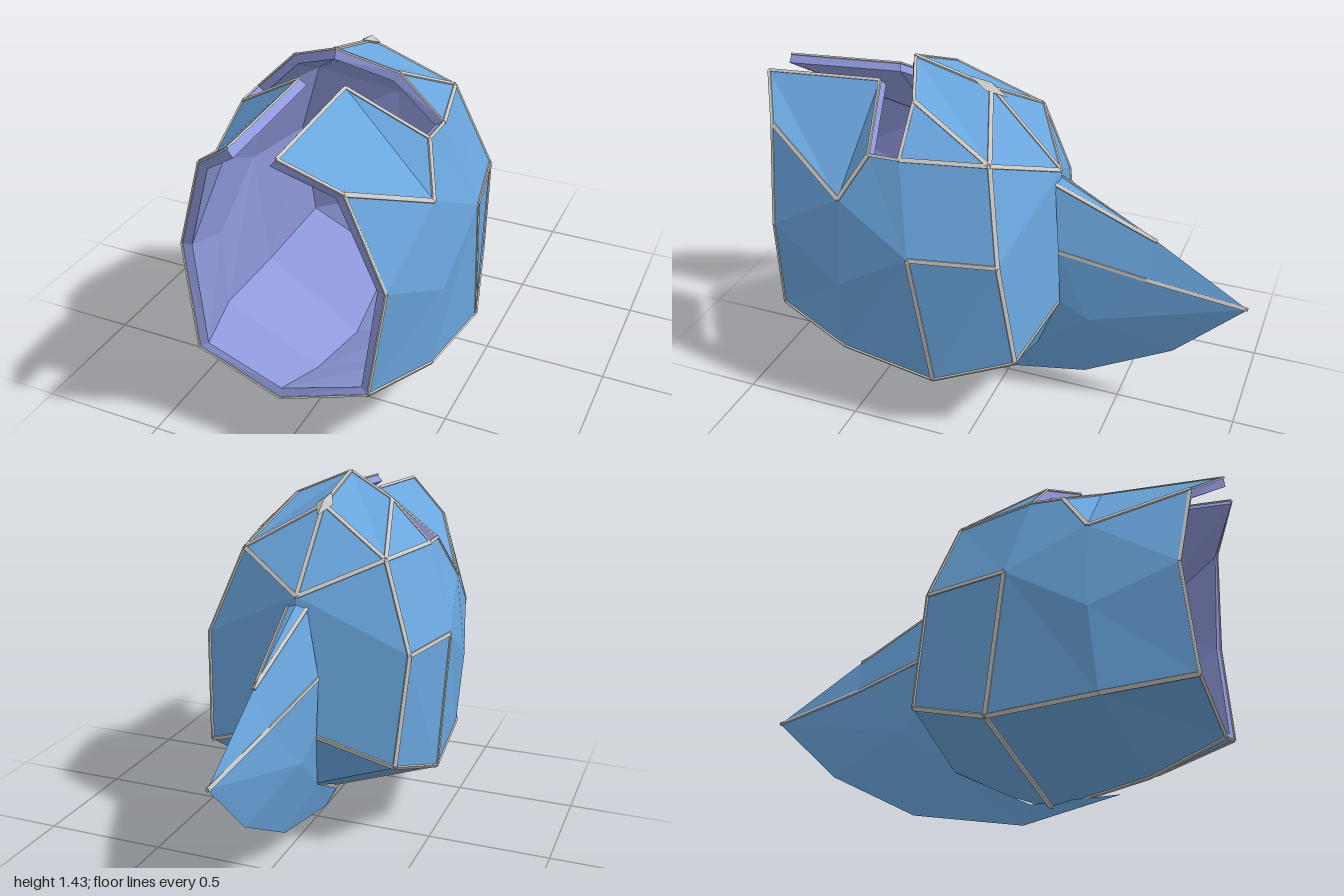
import * as THREE from 'three';

const material = (name, color) => {
  const m = new THREE.MeshStandardMaterial({ color });
  m.name = name;
  return m;
};

// Corner points of the left half; points on x = 0 are shared by both halves.
// Rows a..f run from the neck opening to the back of the skull.
const SHELL = {
  a0: [0, .25, .905], a1: [.345, .365, .885], a2: [.40, .79, .855], a3: [.27, 1.17, .895], a4: [.09, 1.31, 1],
  b0: [0, .13, .61], b1: [.455, .30, .55], b2: [.485, .63, .53], b3: [.44, .99, .53], b4: [.09, 1.345, .50],
  c: [.375, 1.17, .42],
  d0: [0, .05, .23], d1: [.485, .26, .14], d2: [.5, .82, .22], d3: [.38, 1.175, .29], d4: [.21, 1.34, .30], d5: [0, 1.43, .385],
  e0: [0, .21, -.15], e1: [.40, .37, -.18], e2: [.43, .82, -.12], e3: [.30, 1.17, -.04],
  f0: [0, .52, -.28], f1: [0, 1.04, -.22], t: [0, 1.345, .07],
};
const SHELL_FACES = `a0 b0 b1 a1,a1 b1 b2 a2,a2 b2 b3 a3,a4 a3 b3,b4 a4 b3,c b4 b3,
b0 d0 d1 b1,b1 d1 d2 b2,b3 b2 d2,c b3 d2,d3 c d2,
d0 e0 e1 d1,d1 e1 e2 d2,d2 e2 e3 d3,e3 d4 d3,e3 t d5 d4,
f0 e1 e0,f0 e2 e1,f1 e3 e2,f0 f1 e2,f1 t e3`;
const RIM_SEAMS = ['a0 a1 a2 a3 a4 b4 c d3 d4 d5'];
const SHELL_SEAMS = ['d5 t e3 e2 e1 f0', 'a3 b3 c', 'a1 b1 d1 e1',
  'd3 e3 d4', 'e3 f1 t', 'e2 d2 d1 d0', 'a0 b0 d0'];

const CREST = {
  TC: [0, 1.02, -.2], TS: [.04, .995, -.21], T1: [0, .8, -.62], P: [0, .57, -1],
  L1: [0, .295, -.72], L2: [0, .09, -.35], L3: [0, 0, .11], L4: [0, .08, .5],
  M0: [.105, .73, -.25], M1: [.05, .645, -.6], N: [.085, .42, -.38],
  B1: [.1, .5, -.26], B2: [.06, .23, -.155], B3: [.03, .07, .15], C: [0, .62, -.265],
};
const CREST_FACES = `M0 M1 T1 TS,TS T1 TC,M1 P T1,M0 N M1,N P M1,N L1 P,N L2 L1,B1 N M0,B1 B2 N,
B2 L2 N,B2 B3 L3 L2,B3 L4 L3,M0 TS C,TS TC C,B1 M0 C`;
const CREST_SEAMS = ['TS T1', 'M0 M1 P'];

// Mirrors the half into indexed points, outward triangles and averaged normals
function mirrored(table, faceText) {
  const points = [], ids = {};
  for (const [name, [x, y, z]] of Object.entries(table)) {
    ids[name] = [points.length, points.length];
    points.push(new THREE.Vector3(x, y, z));
    if (x > 0) {
      ids[name][1] = points.length;
      points.push(new THREE.Vector3(-x, y, z));
    }
  }
  const tris = [];
  for (const face of faceText.split(',')) {
    const corners = face.trim().split(' ').map(n => ids[n]);
    for (let i = 1; i < corners.length - 1; i++) {
      const [p, q, r] = [corners[0], corners[i], corners[i + 1]];
      tris.push([p[0], q[0], r[0]], [p[1], r[1], q[1]]);
    }
  }
  const normals = points.map(() => new THREE.Vector3());
  for (const [i, j, k] of tris) {
    const n = points[j].clone().sub(points[i]).cross(points[k].clone().sub(points[i])).normalize();
    for (const v of [i, j, k]) normals[v].add(n);
  }
  normals.forEach(n => n.normalize());
  return { points, ids, tris, normals };
}

// Faceted mesh from points and triangles
function facetMesh(name, points, tris, mat) {
  const geo = new THREE.BufferGeometry().setFromPoints(tris.flat().map(i => points[i]));
  geo.computeVertexNormals();
  const mesh = new THREE.Mesh(geo, mat);
  mesh.name = name;
  return mesh;
}

// Thin flat strips laid along chains of edges, on both halves
function seamStrips(name, part, chains, width, mat) {
  const group = new THREE.Group();
  group.name = name;
  for (const chain of chains) {
    const ends = chain.split(' ').map(n => part.ids[n]);
    for (let i = 0; i < ends.length - 1; i++) {
      for (const side of [0, 1]) {
        const u = ends[i], v = ends[i + 1];
        if (side && u[0] === u[1] && v[0] === v[1]) continue;
        const p = part.points[u[side]], q = part.points[v[side]];
        const dir = q.clone().sub(p).normalize();
        const normal = part.normals[u[side]].clone().add(part.normals[v[side]]);
        const across = dir.clone().cross(normal).normalize();
        const up = across.clone().cross(dir);
        const strip = new THREE.Mesh(new THREE.BoxGeometry(p.distanceTo(q), .007, width), mat);
        strip.name = 'seam';
        strip.quaternion.setFromRotationMatrix(new THREE.Matrix4().makeBasis(dir, up, across));
        strip.position.copy(p).lerp(q, .5);
        group.add(strip);
      }
    }
  }
  return group;
}

export function createModel() {
  const blue = material('steel blue', 0x6aa6de);
  const violet = material('lining violet', 0x9099dc);
  const grey = material('seam grey', 0xc9c7c3);
  const model = new THREE.Group();
  model.name = 'helmet';

  // Outer shell
  const shell = mirrored(SHELL, SHELL_FACES);
  model.add(facetMesh('shell', shell.points, shell.tris, blue));

  // Inner lining, offset inward, with walls closing every open edge
  const count = shell.points.length;
  const inner = shell.points.map((p, i) => p.clone().addScaledVector(shell.normals[i], -.038));
  const lining = shell.tris.map(([i, j, k]) => [i + count, k + count, j + count]);
  const edges = shell.tris.flatMap(([i, j, k]) => [[i, j], [j, k], [k, i]]);
  const used = new Set(edges.map(e => e.join()));
  for (const [i, j] of edges) {
    if (!used.has(j + ',' + i)) lining.push([j, i, i + count], [j, i + count, j + count]);
  }
  model.add(facetMesh('lining', [...shell.points, ...inner], lining, violet));
  model.add(seamStrips('rimSeams', shell, RIM_SEAMS, .012, grey));
  model.add(seamStrips('shellSeams', shell, SHELL_SEAMS, .017, grey));

  // Pointed crest with a keel under the shell
  const crest = mirrored(CREST, CREST_FACES);
  model.add(facetMesh('crest', crest.points, crest.tris, blue));
  model.add(seamStrips('crestSeams', crest, CREST_SEAMS, .015, grey));

  // Small diamond stud on the crown
  const stud = new THREE.Mesh(new THREE.OctahedronGeometry(1), grey);
  stud.name = 'crownStud';
  stud.scale.set(.037, .022, .085);
  stud.position.set(0, 1.345, .08);
  stud.rotation.x = -.4;
  model.add(stud);
  return model;
}
